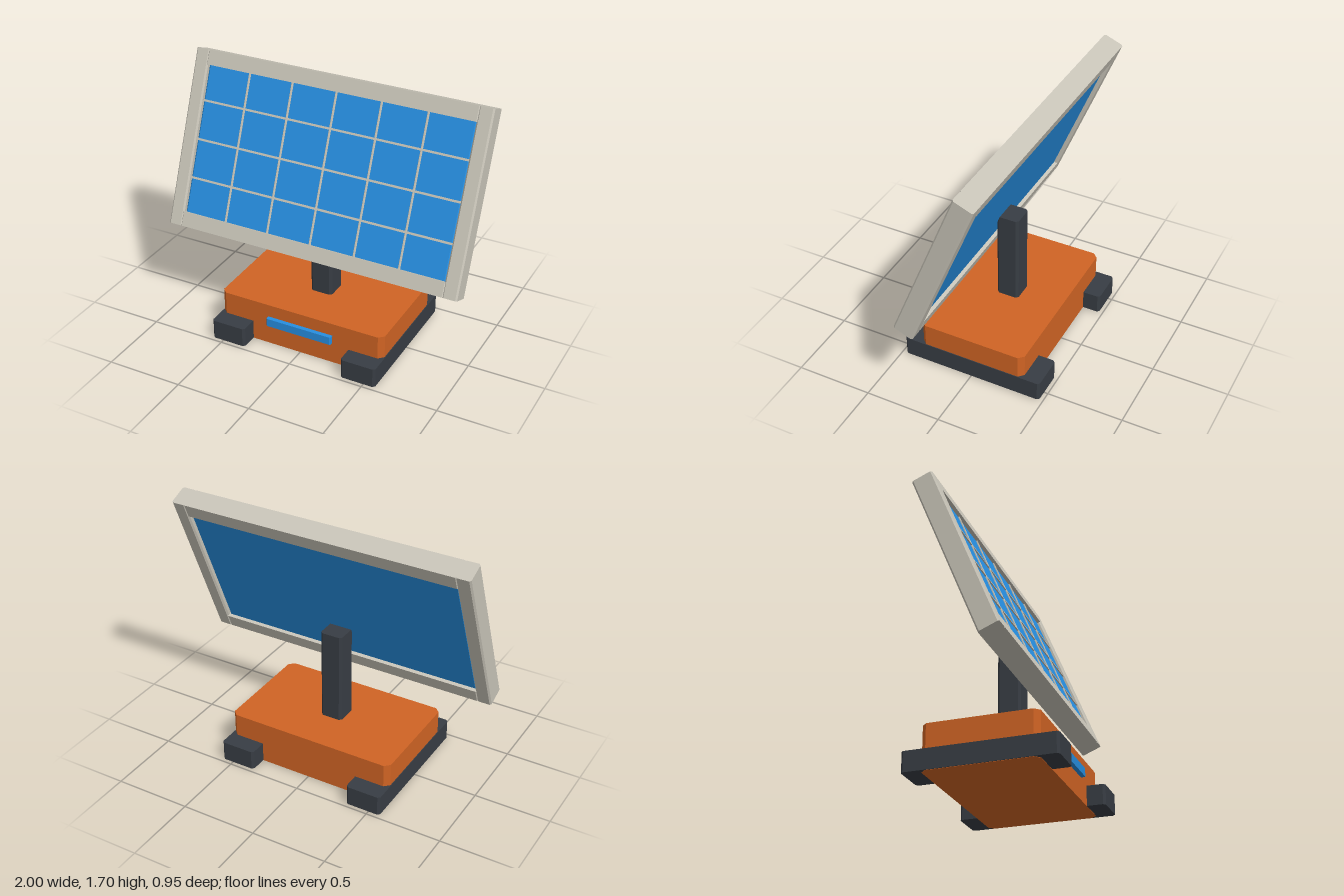
import * as THREE from 'three';

const mat = (name, color) => {
  const m = new THREE.MeshStandardMaterial({ color });
  m.name = name;
  return m;
};

// Block centred on the origin whose four upright edges are chamfered by c
function chamferBlock(w, h, d, c) {
  const x = w / 2, z = d / 2;
  const plan = new THREE.Shape([
    [x - c, -z], [x, -z + c], [x, z - c], [x - c, z],
    [-x + c, z], [-x, z - c], [-x, -z + c], [-x + c, -z],
  ].map(([a, b]) => new THREE.Vector2(a, b)));
  const g = new THREE.ExtrudeGeometry(plan, { depth: h, bevelEnabled: false });
  return g.translate(0, 0, -h / 2).rotateX(-Math.PI / 2);
}

export function createModel() {
  const orange = mat('orange body', 0xd06424);
  const dark = mat('dark charcoal', 0x383d44);
  const beige = mat('warm grey frame', 0xc8c4b8);
  const blue = mat('solar blue', 0x268ee0);

  const model = new THREE.Group();
  model.name = 'solarPanelStand';

  const add = (parent, name, material, [w, h, d], c, [x, y, z]) => {
    const mesh = new THREE.Mesh(chamferBlock(w, h, d, c), material);
    mesh.name = name;
    mesh.position.set(x, y, z);
    parent.add(mesh);
  };

  // Base, skids, front light bar and post
  add(model, 'base', orange, [1.144, 0.287, 0.716], 0.033, [0, 0.1435, 0]);
  for (const s of [-1, 1]) {
    add(model, s > 0 ? 'leftSkid' : 'rightSkid', dark, [0.236, 0.13, 0.95], 0.015, [s * 0.459, 0.067, 0]);
  }
  add(model, 'lightBar', blue, [0.456, 0.054, 0.036], 0.006, [0, 0.174, 0.369]);
  add(model, 'post', dark, [0.15, 0.62, 0.15], 0.016, [0, 0.59, 0]);

  // Tilted panel
  const panel = new THREE.Group();
  panel.name = 'panel';
  panel.position.set(0, 1.146, 0);
  panel.rotation.x = THREE.MathUtils.degToRad(-22);
  model.add(panel);

  const depth = 0.136, height = 1.142, rail = 0.094;
  add(panel, 'cellSheet', blue, [1.814, 0.97, 0.09], 0.013, [0, 0, 0]);

  // Frame
  for (const s of [-1, 1]) {
    add(panel, s > 0 ? 'leftFrame' : 'rightFrame', beige, [0.095, height, depth], 0.01, [s * 0.9525, 0, 0]);
    add(panel, s > 0 ? 'topFrame' : 'bottomFrame', beige, [1.83, rail, depth], 0.01,
      [0, s * (height - rail) / 2, 0]);
  }

  // Dividers between the cells
  for (let i = -2; i <= 2; i++) {
    add(panel, 'uprightDivider', beige, [0.013, 0.96, 0.016], 0.002, [i * 0.302, 0, 0.045]);
  }
  for (let j = -1; j <= 1; j++) {
    add(panel, 'crossDivider', beige, [1.81, 0.013, 0.016], 0.002, [0, j * 0.25, 0.045]);
  }
  return model;
}
